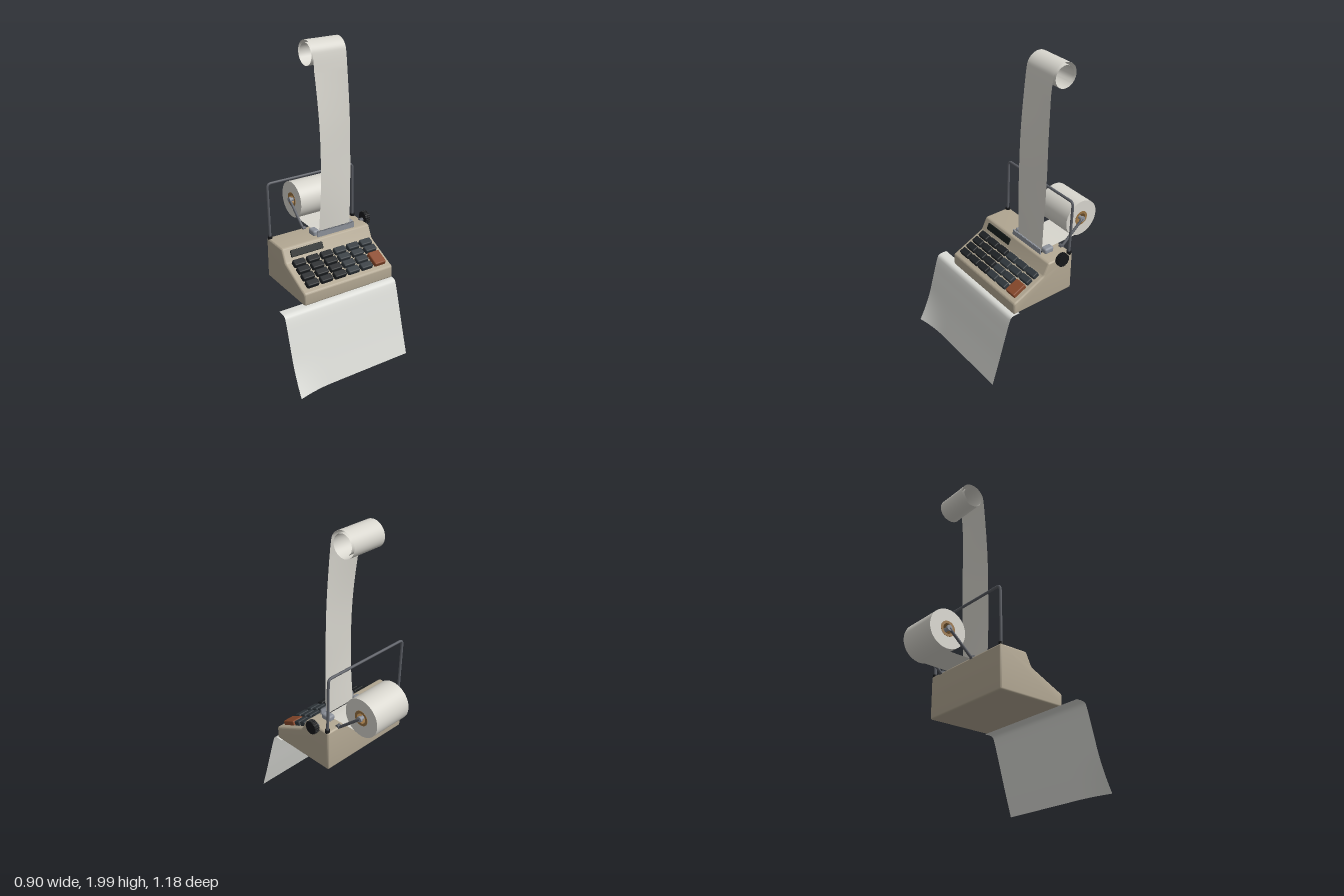
import * as THREE from 'three';
import { toCreasedNormals } from 'three/addons/utils/BufferGeometryUtils.js';
import { RoundedBoxGeometry } from 'three/addons/geometries/RoundedBoxGeometry.js';

const mat = (color, side = THREE.FrontSide) => new THREE.MeshStandardMaterial({ color, side });
const M = {
  shell: mat(0xb3a893),
  darkKey: mat(0x1f2225),
  greyKey: mat(0x31383d),
  orange: mat(0x8a4a2c),
  black: mat(0x17181a),
  screen: mat(0x151b19),
  metal: mat(0x8d929b),
  rod: mat(0x5c5f66),
  core: mat(0x9a7444, THREE.DoubleSide),
  paper: mat(0xd8d6ce, THREE.DoubleSide),
  sheet: mat(0xdcddd8, THREE.DoubleSide),
};

function add(parent, name, geometry, material, x = 0, y = 0, z = 0) {
  const mesh = new THREE.Mesh(geometry, material);
  mesh.name = name;
  mesh.position.set(x, y, z);
  parent.add(mesh);
  return mesh;
}

// Closed [z, y] outline with rounded corners, laid out for extruding along x
function roundedOutline(points, radius) {
  const v = points.map(([z, y]) => new THREE.Vector2(-z, y));
  const shape = new THREE.Shape();
  v.forEach((p, i) => {
    const before = v[(i + v.length - 1) % v.length], after = v[(i + 1) % v.length];
    const a = p.clone().add(before.clone().sub(p).setLength(radius));
    const b = p.clone().add(after.clone().sub(p).setLength(radius));
    if (i) shape.lineTo(a.x, a.y); else shape.moveTo(a.x, a.y);
    shape.quadraticCurveTo(p.x, p.y, b.x, b.y);
  });
  shape.closePath();
  return shape;
}

// Band of paper following a [z, y] path between x0 and x1, with an optional warp
function band(path, x0, x1, rows, cols, warp = () => {}) {
  const curve = new THREE.CatmullRomCurve3(path.map(([z, y]) => new THREE.Vector3(0, y, z)), false, 'centripetal');
  const line = curve.getSpacedPoints(rows);
  const geo = new THREE.PlaneGeometry(1, 1, cols, rows);
  const pos = geo.attributes.position;
  for (let i = 0; i < pos.count; i++) {
    const c = i % (cols + 1), r = Math.floor(i / (cols + 1));
    const p = line[r].clone();
    p.x = THREE.MathUtils.lerp(x0, x1, c / cols);
    warp(p, c / cols, r / rows);
    pos.setXYZ(i, p.x, p.y, p.z);
  }
  geo.computeVertexNormals();
  return geo;
}

function rod(points, radius, segments = 40) {
  const path = new THREE.CurvePath();
  const v = points.map(p => new THREE.Vector3(...p));
  let start = v[0];
  // straight runs joined by short bends
  for (let i = 1; i < v.length - 1; i++) {
    const a = v[i].clone().add(v[i - 1].clone().sub(v[i]).setLength(0.025));
    const b = v[i].clone().add(v[i + 1].clone().sub(v[i]).setLength(0.025));
    path.add(new THREE.LineCurve3(start, a));
    path.add(new THREE.QuadraticBezierCurve3(a, v[i], b));
    start = b;
  }
  path.add(new THREE.LineCurve3(start, v[v.length - 1]));
  return new THREE.TubeGeometry(path, segments, radius, 8);
}

const xCylinder = (r, length, sides = 40) => new THREE.CylinderGeometry(r, r, length, sides).rotateZ(Math.PI / 2);

export function createModel() {
  const root = new THREE.Group();
  root.name = 'addingMachine';
  const machine = new THREE.Group();
  machine.name = 'machine';
  machine.position.set(-0.055, 0, -0.045);
  machine.rotation.y = THREE.MathUtils.degToRad(34.5);
  root.add(machine);

  // Wedge-shaped housing
  const outline = roundedOutline([
    [0.23, 0.495], [0.23, 0.578], [0.205, 0.588], [0.0, 0.685], [-0.04, 0.768], [-0.23, 0.768], [-0.23, 0.495],
  ], 0.012);
  const b = 0.012, width = 0.66;
  const shell = new THREE.ExtrudeGeometry(outline, {
    depth: width - 2 * b, bevelThickness: b, bevelSize: b, bevelOffset: -b, bevelSegments: 4, curveSegments: 4,
  });
  shell.translate(0, 0, -width / 2 + b).rotateY(Math.PI / 2);
  add(machine, 'housing', toCreasedNormals(shell, 0.6), M.shell);

  // Display window on the steep step
  const screen = add(machine, 'displayWindow', new RoundedBoxGeometry(0.235, 0.045, 0.012, 2, 0.004), M.screen, -0.16, 0.729, -0.019);
  screen.rotation.x = -Math.atan2(0.04, 0.083);

  // Keyboard on the sloping deck
  const keyboard = new THREE.Group();
  keyboard.name = 'keyboard';
  keyboard.position.set(0.003, 0.6366, 0.1025);
  keyboard.rotation.x = Math.atan2(0.097, 0.205);
  machine.add(keyboard);
  const keyGeo = new RoundedBoxGeometry(0.084, 0.036, 0.046, 3, 0.008);
  const bigKeyGeo = new RoundedBoxGeometry(0.084, 0.036, 0.102, 3, 0.008);
  for (let col = 0; col < 6; col++) {
    const x = (col - 2.5) * 0.1;
    for (let row = 0; row < 4; row++) {
      if (col === 5 && row > 1) continue;
      add(keyboard, 'key', keyGeo, col < 3 ? M.darkKey : M.greyKey, x, 0.01, (row - 1.5) * 0.056);
    }
  }
  add(keyboard, 'totalKey', bigKeyGeo, M.orange, 0.25, 0.01, 0.056);

  // Platen knob on the right-hand end
  add(machine, 'knobShaft', xCylinder(0.014, 0.04, 16), M.rod, 0.33, 0.765, -0.124);
  add(machine, 'knob', xCylinder(0.041, 0.034, 20), M.black, 0.354, 0.777, -0.124);
  for (let i = 0; i < 20; i++) {
    const a = i / 20 * Math.PI * 2;
    add(machine, 'knobRib', xCylinder(0.004, 0.03, 6), M.black, 0.354, 0.777 + 0.041 * Math.sin(a), -0.124 + 0.041 * Math.cos(a));
  }

  // Wire bail behind the housing top
  add(machine, 'wireBail', rod([[-0.314, 0.75, -0.212], [-0.316, 1.138, -0.222], [0.318, 1.138, -0.222], [0.316, 0.75, -0.212]], 0.0085, 90), M.rod);
  for (const x of [-0.314, 0.316]) add(machine, 'bailFoot', new THREE.CylinderGeometry(0.015, 0.015, 0.02, 16), M.black, x, 0.772, -0.212);

  // Roll holder arms and spindle
  for (const x of [-0.064, 0.233]) {
    add(machine, 'rollArm', rod([[x, 0.755, -0.215], [x, 0.907, -0.39]], 0.009, 4), M.rod);
    add(machine, 'armFoot', xCylinder(0.014, 0.024, 16), M.rod, x, 0.768, -0.22);
    add(machine, 'spindleCap', xCylinder(0.018, 0.014, 16), M.metal, x, 0.907, -0.39);
  }
  add(machine, 'spindle', xCylinder(0.012, 0.3, 16), M.metal, 0.085, 0.907, -0.39);

  // Paper roll, hollow, on a card core
  const tube = (inner, outer, half) => toCreasedNormals(new THREE.LatheGeometry(
    [[inner, -half], [outer, -half], [outer, half], [inner, half], [inner, -half]].map(p => new THREE.Vector2(...p)), 48
  ).rotateZ(Math.PI / 2), 0.6);
  add(machine, 'paperRoll', tube(0.047, 0.124, 0.135), M.paper, 0.085, 0.907, -0.39);
  add(machine, 'rollCore', tube(0.033, 0.049, 0.137), M.core, 0.085, 0.907, -0.39);

  // Paper fed from the roll into the printer
  add(machine, 'feedPaper', band([[-0.41, 0.784], [-0.36, 0.781], [-0.25, 0.778], [-0.14, 0.776], [-0.09, 0.77]], -0.03, 0.205, 16, 1), M.paper);

  // Printed strip rising from the slot and curling back on itself
  const strip = [[-0.085, 0.755], [-0.08, 1.0], [-0.083, 1.25], [-0.09, 1.5], [-0.106, 1.72]];
  for (let i = 0; i <= 26; i++) {
    const t = i / 26, a = t * Math.PI * 3.3, r = 0.09 - 0.03 * t;
    strip.push([-0.217 + r * Math.cos(a), 1.913 + r * 0.97 * Math.sin(a)]);
  }
  add(machine, 'paperStrip', band(strip, -0.03, 0.204, 170, 6, (p, u) => {
    const h = THREE.MathUtils.clamp((p.y - 0.77) / 1.05, 0, 1);
    p.x += 0.012 * Math.sin(h * Math.PI);
    p.z += 0.012 * Math.sin(h * Math.PI) * (1 - 2 * u);
  }), M.paper);

  // Serrated tear bar, slot and paper guides
  const teeth = 34, bar = new THREE.Shape();
  bar.moveTo(-0.14, 0).lineTo(0.14, 0).lineTo(0.14, 0.036);
  for (let i = 0; i < teeth; i++) {
    const x = 0.14 - i * 0.28 / teeth;
    bar.lineTo(x - 0.14 / teeth, 0.046).lineTo(x - 0.28 / teeth, 0.036);
  }
  bar.closePath();
  add(machine, 'tearBar', new THREE.ExtrudeGeometry(bar, { depth: 0.008, bevelEnabled: false }), M.metal, 0.083, 0.764, -0.064);
  add(machine, 'paperSlot', new THREE.BoxGeometry(0.25, 0.006, 0.03), M.black, 0.085, 0.767, -0.085);
  for (const x of [-0.045, 0.218]) {
    add(machine, 'paperGuide', new RoundedBoxGeometry(0.05, 0.042, 0.07, 4, 0.014), M.metal, x, 0.78, -0.118);
  }

  // Loose sheet hanging from under the front edge, one lower corner flaring out
  const fall = [[0.19, 0.492], [0.235, 0.492], [0.254, 0.486], [0.266, 0.462], [0.3, 0.35], [0.35, 0.175], [0.402, 0.002]];
  add(machine, 'hangingSheet', band(fall, -0.484, 0.333, 40, 32, (p, u) => {
    const side = Math.max(0, 1 - u / 0.3), low = Math.max(0, 1 - p.y / 0.25);
    p.z += 0.032 * side * side * low * low;
  }), M.sheet);

  return root;
}
